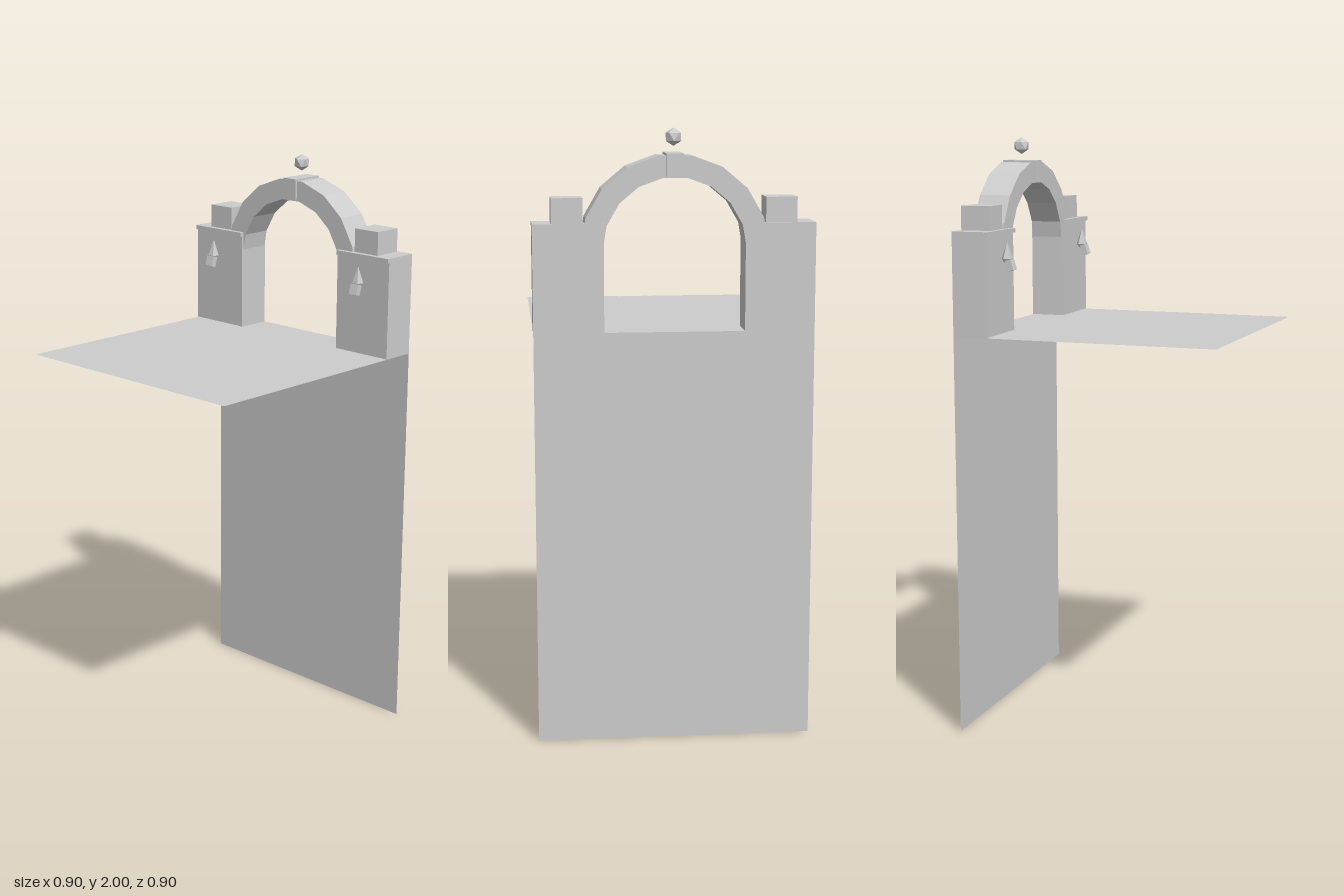
import * as THREE from 'three';

export function createModel() {
  const model = new THREE.Group();
  const stone = new THREE.MeshStandardMaterial({ color: 0xcccccc, side: THREE.DoubleSide, flatShading: true });
  stone.name = 'grey stone';

  const add = (name, geometry, x, y, z, parent = model) => {
    const mesh = new THREE.Mesh(geometry, stone);
    mesh.name = name;
    mesh.position.set(x, y, z);
    parent.add(mesh);
    return mesh;
  };
  // Box given by its lower and upper limits on each axis
  const block = (name, [x0, x1], [y0, y1], [z0, z1], parent) =>
    add(name, new THREE.BoxGeometry(x1 - x0, y1 - y0, z1 - z0),
      (x0 + x1) / 2, (y0 + y1) / 2, (z0 + z1) / 2, parent);

  const floorY = 1.36;

  // Thin wall below and flat floor above
  add('backWall', new THREE.PlaneGeometry(0.9, floorY), 0, floorY / 2, -0.45);
  add('floor', new THREE.PlaneGeometry(0.9, 0.9).rotateX(-Math.PI / 2), 0, floorY, 0);

  // Paving: W = whole slab, X = split across x, Z = split across z
  const paving = new THREE.Group();
  paving.name = 'paving';
  model.add(paving);
  const cell = 0.225, gap = 0.0095;
  ['WWWW', 'WXWZ', 'WZZW', 'XZXZ'].forEach((row, r) => [...row].forEach((kind, c) => {
    const nx = kind === 'X' ? 2 : 1, nz = kind === 'Z' ? 2 : 1;
    const w = cell / nx, d = cell / nz;
    for (let i = 0; i < nx; i++) for (let j = 0; j < nz; j++) {
      add('pavingSlab', new THREE.PlaneGeometry(w - gap, d - gap).rotateX(-Math.PI / 2),
        -0.45 + c * cell + (i + 0.5) * w, floorY + 0.0015, -0.45 + r * cell + (j + 0.5) * d, paving);
    }
  }));

  // Pillars with caps, top blocks and torches, mirrored
  for (const s of [1, -1]) {
    const span = (a, b) => (s > 0 ? [a, b] : [-b, -a]);
    const side = new THREE.Group();
    side.name = s > 0 ? 'leftPillar' : 'rightPillar';
    model.add(side);
    block('pillar', span(0.225, 0.45), [floorY, 1.69], [-0.45, -0.33], side);
    block('pillarCap', span(0.225, 0.45), [1.69, 1.705], [-0.45, -0.322], side);
    block('pillarBlock', span(0.29, 0.39), [1.705, 1.785], [-0.443, -0.341], side);
    const handle = add('torchHandle', new THREE.BoxGeometry(0.032, 0.036, 0.02), s * 0.34, 1.591, -0.289, side);
    handle.rotation.x = -0.3;
    const flame = new THREE.LatheGeometry([[0, 1.595], [0.012, 1.6], [0.02, 1.612], [0, 1.668]]
      .map(([x, y]) => new THREE.Vector2(x, y)), 5, Math.PI);
    add('torchFlame', flame, s * 0.34, 0, -0.302, side);
  }

  // Faceted arch ring in nine steps
  const steps = 9, centreY = 1.62;
  const arc = (radius) => Array.from({ length: steps + 1 }, (_, i) => {
    const a = (i / steps) * Math.PI;
    return new THREE.Vector2(radius * Math.cos(a), radius * Math.sin(a));
  });
  const ring = new THREE.Shape([...arc(0.3), ...arc(0.229).reverse()]);
  add('arch', new THREE.ExtrudeGeometry(ring, { depth: 0.11, bevelEnabled: false }), 0, centreY, -0.447);

  // Keystone and the small ball above it
  block('keystone', [-0.028, 0.028], [1.85, 1.922], [-0.45, -0.33]);
  const ball = new THREE.IcosahedronGeometry(0.0285, 0)
    .rotateZ(Math.atan(2 / (1 + Math.sqrt(5)))).rotateY(Math.PI / 2);
  add('finialBall', ball, 0, 1.9715, -0.392);

  return model;
}
